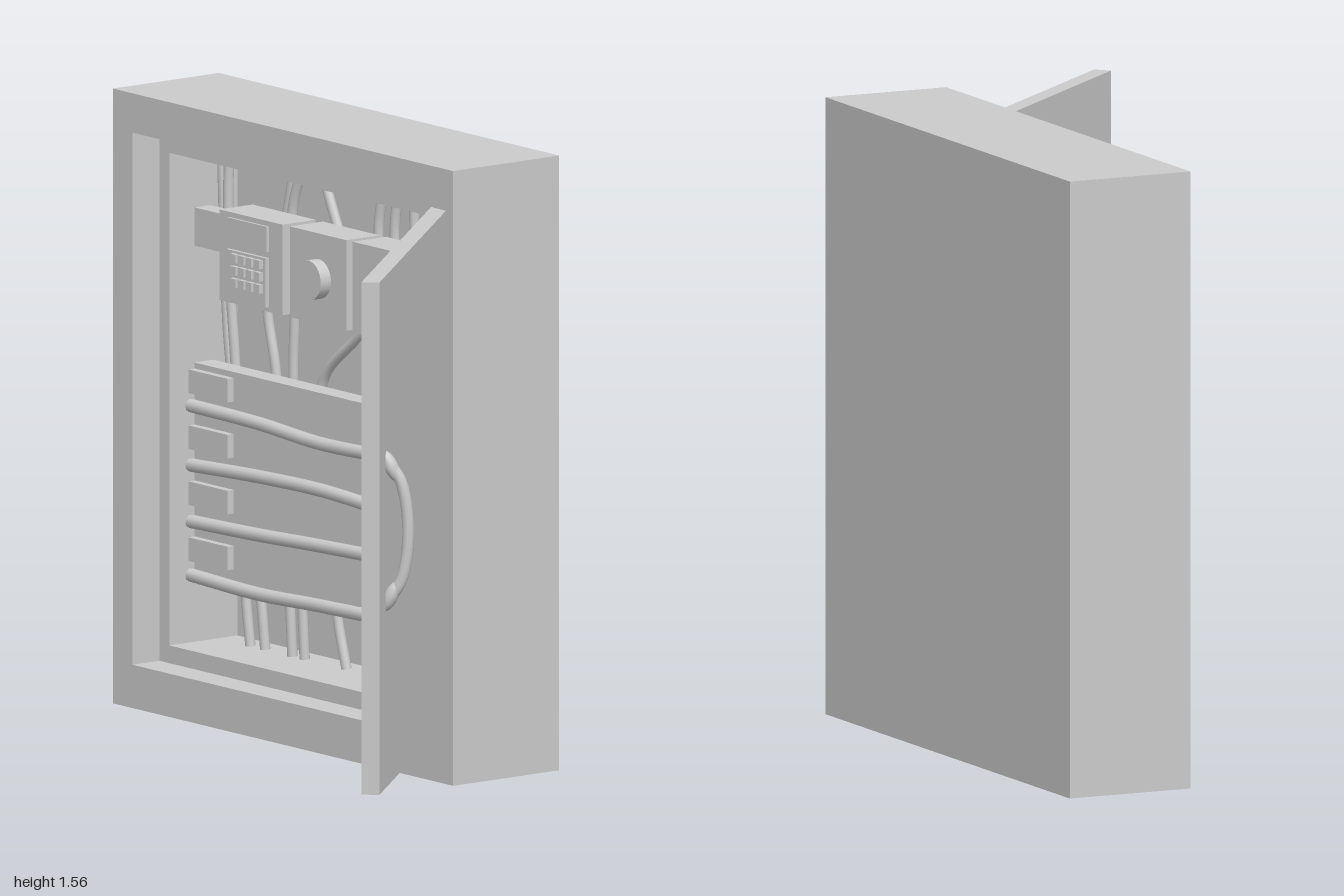
import * as THREE from 'three';

const grey = new THREE.MeshStandardMaterial({ color: 0xcccccc });
const FRONT = -0.205; // z of the cabinet's front face; depths below run back from it

function add(parent, name, geometry, x = 0, y = 0, z = 0) {
  const mesh = new THREE.Mesh(geometry, grey);
  mesh.name = name;
  mesh.position.set(x, y, z);
  parent.add(mesh);
  return mesh;
}

// box given by its x and y limits and its front and back depth
function block(parent, name, x0, x1, y0, y1, d0, d1) {
  return add(parent, name, new THREE.BoxGeometry(x1 - x0, y1 - y0, d1 - d0),
    (x0 + x1) / 2, (y0 + y1) / 2, FRONT - (d0 + d1) / 2);
}

// rectangular ring around an opening
function ring(parent, name, [x0, x1, y0, y1], d0, d1) {
  const rect = (s, a, b, c, d) => s.moveTo(a, c).lineTo(b, c).lineTo(b, d).lineTo(a, d).closePath();
  const shape = rect(new THREE.Shape(), -1, 0.38, 0, 1.56);
  shape.holes.push(rect(new THREE.Path(), x0, x1, y0, y1));
  const geo = new THREE.ExtrudeGeometry(shape, { depth: d1 - d0, bevelEnabled: false });
  return add(parent, name, geo, 0, 0, FRONT - d1);
}

function cable(parent, name, points, radius) {
  const curve = new THREE.CatmullRomCurve3(points.map(p => new THREE.Vector3(...p)));
  return add(parent, name, new THREE.TubeGeometry(curve, 40, radius, 10));
}

function buildCabinet() {
  const g = new THREE.Group();
  g.name = 'cabinet';
  ring(g, 'outerFrame', [-0.92, 0.3, 0.11, 1.46], 0, 0.085);
  ring(g, 'innerWalls', [-0.88, 0.26, 0.155, 1.405], 0.085, 0.3);
  block(g, 'backPanel', -1, 0.38, 0, 1.56, 0.3, 0.335);
  return g;
}

function buildDoor() {
  const g = new THREE.Group();
  g.name = 'door';
  g.position.set(0.29, 0, FRONT);
  g.rotation.y = -0.835;
  add(g, 'doorPanel', new THREE.BoxGeometry(1.005, 1.3, 0.045), 0.5025, 0.805, -0.0225);
  // bowed pull handle with swollen feet
  cable(g, 'doorHandle', [[0.9, 0.63, -0.05], [0.9, 0.68, -0.082], [0.9, 0.805, -0.1],
    [0.9, 0.93, -0.082], [0.9, 0.98, -0.05]], 0.015);
  for (const s of [-1, 1]) {
    const foot = add(g, 'handleFoot', new THREE.SphereGeometry(1, 20, 14), 0.9, 0.805 + s * 0.165, -0.056);
    foot.scale.set(0.019, 0.042, 0.018);
    foot.rotation.x = s * 0.45;
  }
  return g;
}

function buildDevices() {
  const g = new THREE.Group();
  g.name = 'devices';
  block(g, 'mountingRail', -0.88, 0.26, 1.16, 1.257, 0.165, 0.215);
  for (const [x0, x1] of [[-0.715, -0.46], [-0.43, -0.2], [-0.175, 0.08]])
    block(g, 'deviceBox', x0, x1, 1.053, 1.283, 0.115, 0.22);
  for (const [x0, x1] of [[-0.46, -0.43], [-0.2, -0.175]])
    block(g, 'spacer', x0, x1, 1.06, 1.275, 0.14, 0.215);

  // keypad unit
  block(g, 'keypadPlate', -0.675, -0.515, 1.065, 1.19, 0.105, 0.12);
  block(g, 'display', -0.675, -0.515, 1.205, 1.27, 0.108, 0.12);
  for (let c = 0; c < 4; c++) for (let r = 0; r < 3; r++) {
    const x = -0.645 + c * 0.032, y = 1.1 + r * 0.031;
    block(g, 'key', x, x + 0.023, y, y + 0.022, 0.093, 0.11);
  }

  // rotary dial
  const dial = add(g, 'dial', new THREE.CylinderGeometry(0.05, 0.05, 0.035, 32), -0.313, 1.168, FRONT - 0.1);
  dial.rotation.x = Math.PI / 2;

  // breaker drum with lever in its slot
  for (const y of [1.127, 1.191])
    add(g, 'breakerDrum', new THREE.CylinderGeometry(0.048, 0.048, 0.036, 28), -0.043, y, FRONT - 0.115);
  add(g, 'breakerCore', new THREE.CylinderGeometry(0.03, 0.03, 0.04, 20), -0.043, 1.159, FRONT - 0.115);
  block(g, 'breakerLever', -0.055, -0.032, 1.144, 1.174, 0.05, 0.1);
  return g;
}

function buildDuct() {
  const g = new THREE.Group();
  g.name = 'cableDuct';
  block(g, 'ductPanel', -0.875, 0.255, 0.315, 0.865, 0.16, 0.22);
  // label plates at both ends of each row
  for (let i = 0; i < 4; i++) for (const x of [-0.873, 0.095])
    block(g, 'labelPlate', x, x + 0.158, 0.79 - i * 0.142, 0.85 - i * 0.142, 0.14, 0.165);
  // slack cables across the panel
  const xs = [-0.877, -0.6, -0.35, -0.05, 0.12, 0.257];
  const rows = [
    [0.757, 0.753, 0.74, 0.748, 0.752, 0.757],
    [0.606, 0.618, 0.622, 0.61, 0.614, 0.62],
    [0.463, 0.47, 0.48, 0.486, 0.472, 0.478],
    [0.327, 0.32, 0.328, 0.333, 0.328, 0.335],
  ];
  for (const ys of rows)
    cable(g, 'frontCable', xs.map((x, i) => [x, ys[i], FRONT - 0.15]), 0.017);
  return g;
}

function buildWires() {
  const g = new THREE.Group();
  g.name = 'wires';
  const ys = [1.405, 1.28, 1.05, 0.86, 0.3, 0.155];
  const runs = [
    [-0.835, -0.84, -0.83, -0.81, -0.77, -0.75],
    [-0.865, -0.86, -0.85, -0.83, -0.71, -0.69],
    [-0.57, -0.6, -0.68, -0.645, -0.59, -0.58],
    [-0.54, -0.58, -0.57, -0.575, -0.54, -0.53],
    [-0.46, -0.4, -0.29, -0.46, -0.4, -0.36],
    [-0.21, -0.23, -0.18, -0.22, -0.27, -0.24],
    [-0.15, -0.165, -0.11, -0.085, -0.22, -0.18],
    [-0.085, -0.08, 0, -0.02, -0.05, -0.02],
    [-0.015, -0.01, 0.04, 0.055, 0.1, 0.14],
    [0.05, 0.065, 0.05, 0.03, 0.005, 0.05],
    [0.19, 0.21, 0.19, 0.22, 0.21, 0.22],
  ];
  for (const run of runs)
    cable(g, 'verticalWire', run.map((x, i) => [x, ys[i], FRONT - 0.24]), 0.013);
  return g;
}

export function createModel() {
  const model = new THREE.Group();
  model.name = 'electricalCabinet';
  model.add(buildCabinet(), buildDoor(), buildDevices(), buildDuct(), buildWires());
  return model;
}
